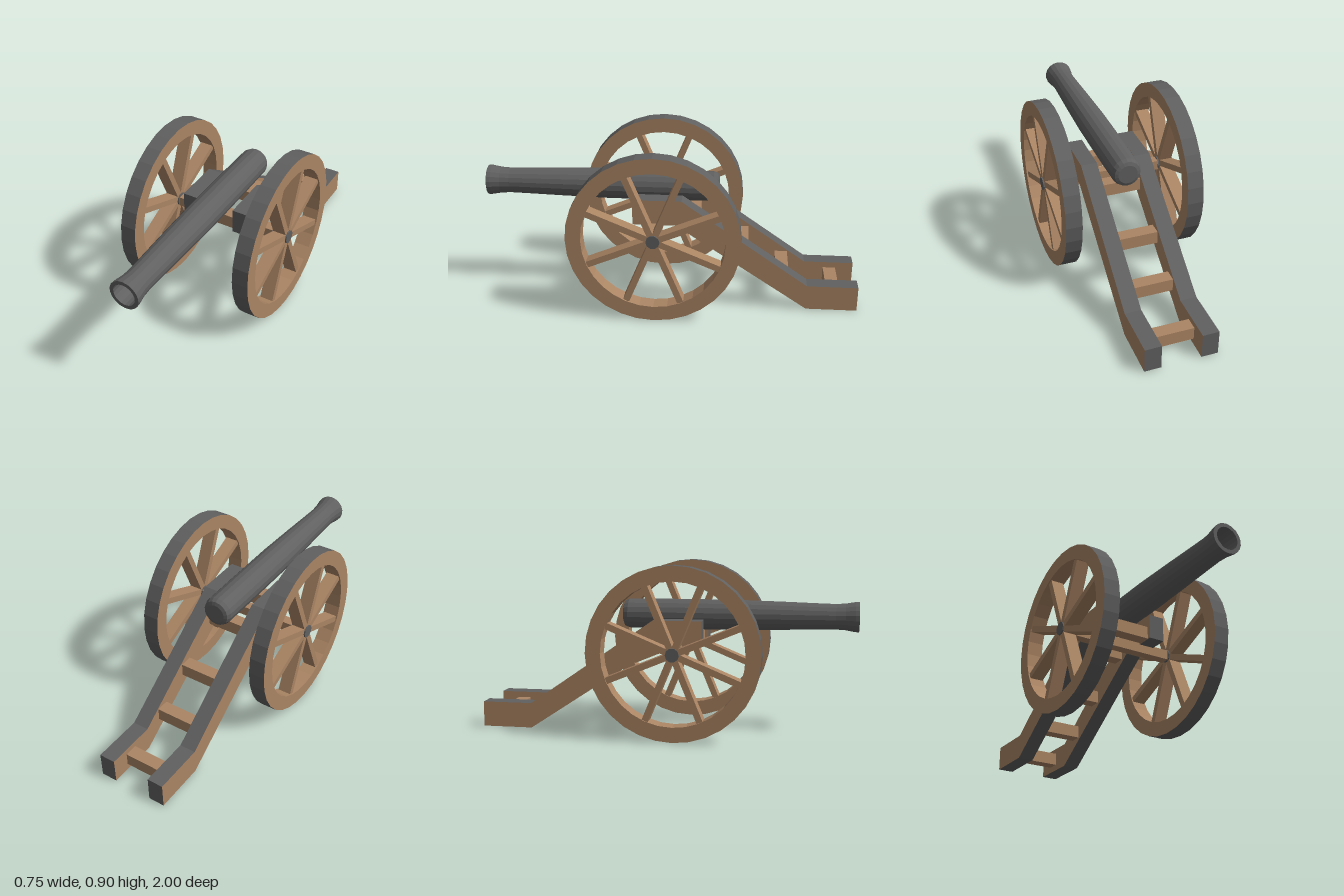
import * as THREE from 'three';

const wood = new THREE.MeshStandardMaterial({ color: 0xab8564 });
wood.name = 'wood';
const iron = new THREE.MeshStandardMaterial({ color: 0x606060 });
iron.name = 'iron';

const BARREL_Y = 0.62, AXLE_Y = 0.45, AXLE_Z = 0.073;
const CHEEK_X = 0.148, CHEEK_W = 0.087;
const WHEEL_X = 0.33, WHEEL_W = 0.087, RIM_OUT = 0.449, RIM_IN = 0.37;

function add(parent, name, geometry, material, x = 0, y = 0, z = 0) {
  const mesh = new THREE.Mesh(geometry, material);
  mesh.name = name;
  mesh.position.set(x, y, z);
  parent.add(mesh);
  return mesh;
}

// Faceted surface of revolution about y
function facetedLathe(points, segments) {
  const geometry = new THREE.LatheGeometry(points.map(p => new THREE.Vector2(...p)), segments).toNonIndexed();
  geometry.computeVertexNormals();
  return geometry;
}

function createBarrel() {
  // Radius and distance along the barrel, breech to muzzle, then into the bore
  return facetedLathe([
    [0, -0.25], [0.052, -0.25], [0.07, -0.243], [0.079, -0.22], [0.081, 0],
    [0.081, 0.35], [0.075, 0.6], [0.069, 0.8], [0.067, 0.88], [0.07, 0.93], [0.079, 0.98], [0.08, 1],
    [0.06, 1], [0.06, 0.9], [0, 0.9],
  ], 18).rotateX(Math.PI / 2);
}

function createWheel() {
  const wheel = new THREE.Group();
  const h = WHEEL_W / 2;
  const sideways = Math.PI / 2;
  add(wheel, 'rim', facetedLathe([[RIM_OUT, h], [RIM_IN, h], [RIM_IN, -h], [RIM_OUT, -h]], 32).rotateZ(sideways), wood);
  add(wheel, 'tyre', facetedLathe([[RIM_OUT, -h], [RIM_OUT, h]], 32).rotateZ(sideways), iron);
  const hub = new THREE.CylinderGeometry(0.036, 0.036, WHEEL_W, 10).toNonIndexed();
  hub.computeVertexNormals();
  add(wheel, 'hub', hub.rotateZ(sideways), iron);
  const spoke = new THREE.BoxGeometry(0.072, 0.35, 0.033).translate(0, 0.2, 0);
  for (let i = 0; i < 8; i++) {
    add(wheel, 'spoke', spoke, wood).rotation.x = (i + 0.5) * Math.PI / 4;
  }
  return wheel;
}

// Carriage side: wooden faces with iron-clad edges
function createCheek() {
  const outline = [[0.197, 0.603], [-0.06, 0.603], [-0.73, 0.14], [-1, 0.14],
    [-1, 0.005], [-0.73, 0.005], [-0.03, 0.467], [0.197, 0.467]];
  const shape = new THREE.Shape(outline.map(p => new THREE.Vector2(...p)));
  return new THREE.ExtrudeGeometry(shape, { depth: CHEEK_W, bevelEnabled: false })
    .translate(0, 0, -CHEEK_W / 2).rotateY(-Math.PI / 2);
}

export function createModel() {
  const model = new THREE.Group();
  model.name = 'fieldCannon';

  add(model, 'barrel', createBarrel(), iron, 0, BARREL_Y, 0);
  add(model, 'axle', new THREE.BoxGeometry(0.575, 0.054, 0.054), wood, 0, 0.448, AXLE_Z - 0.003);

  const cheek = createCheek();
  for (const [side, label] of [[1, 'left'], [-1, 'right']]) {
    add(model, label + 'Cheek', cheek, [wood, iron], side * CHEEK_X, 0, 0);
    const wheel = createWheel();
    wheel.name = label + 'Wheel';
    wheel.position.set(side * WHEEL_X, AXLE_Y, AXLE_Z);
    model.add(wheel);
  }

  // Crossbars joining the two cheeks, front to tail
  const bar = new THREE.BoxGeometry(0.21, 0.069, 0.069);
  for (const [y, z] of [[0.504, 0.142], [0.482, -0.118], [0.311, -0.378], [0.166, -0.597], [0.074, -0.87]]) {
    add(model, 'crossbar', bar, wood, 0, y, z);
  }
  return model;
}
